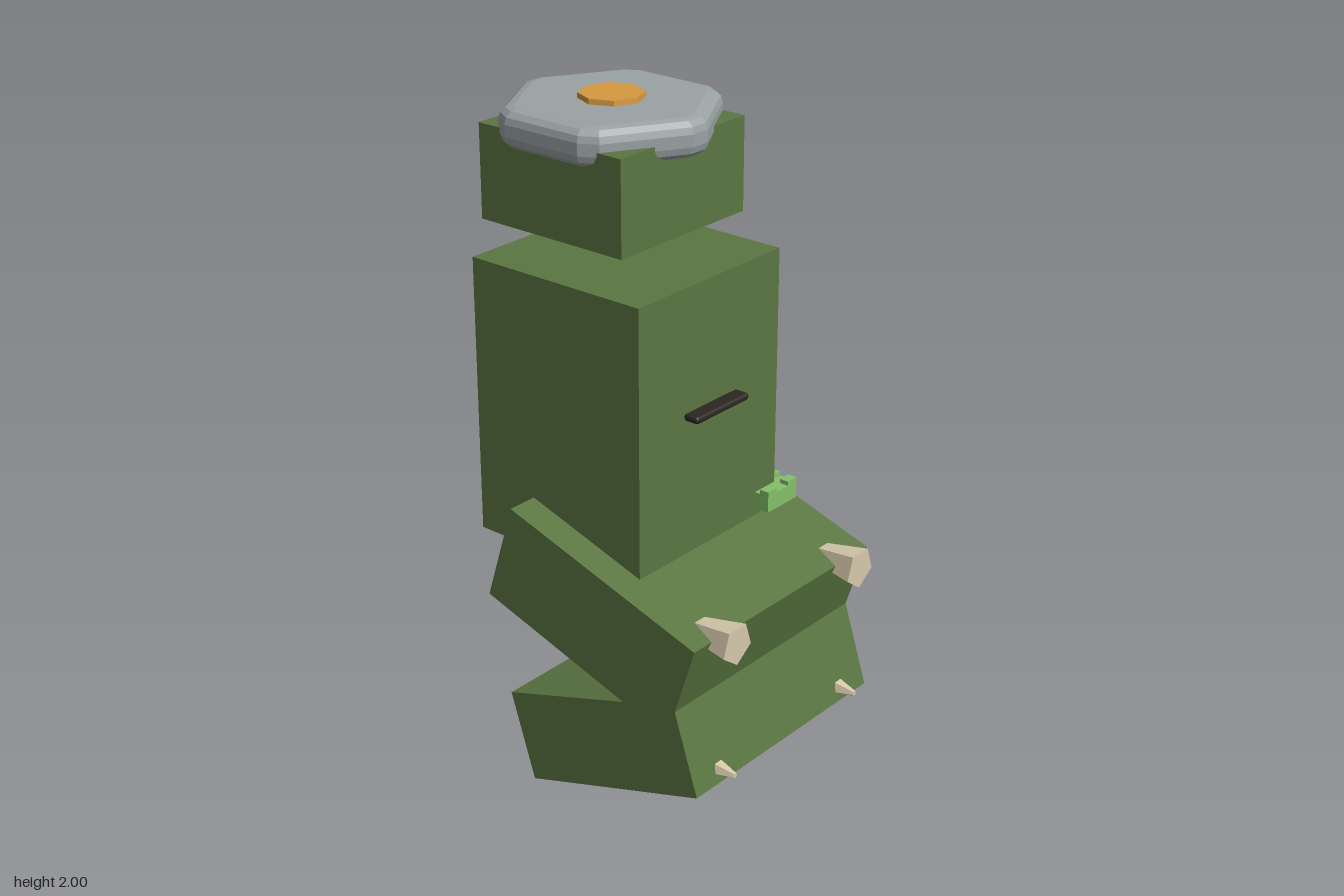
import * as THREE from 'three';
import { RoundedBoxGeometry } from 'three/addons/geometries/RoundedBoxGeometry.js';

const material = (name, color) => {
  const m = new THREE.MeshStandardMaterial({ color });
  m.name = name;
  return m;
};

export function createModel() {
  const model = new THREE.Group();
  model.name = 'figure';
  const green = material('olive green', 0x5b7642);
  const lightGreen = material('light green', 0x84c06a);
  const grey = material('grey', 0x9aa2a4);
  const orange = material('orange', 0xd6983f);
  const ivory = material('ivory', 0xd6c8ac);
  const dark = material('near black', 0x2b2622);

  const add = (name, geometry, mat, x = 0, y = 0, z = 0) => {
    const mesh = new THREE.Mesh(geometry, mat);
    mesh.name = name;
    mesh.position.set(x, y, z);
    model.add(mesh);
    return mesh;
  };
  const box = (name, mat, w, h, d, x, y, z) =>
    add(name, new THREE.BoxGeometry(w, h, d), mat, x, y, z);
  const faceted = (geometry) => {
    const g = geometry.toNonIndexed();
    g.computeVertexNormals();
    return g;
  };

  // Head and body blocks
  box('head', green, 0.515, 0.275, 0.51, -0.002, 1.7875, -0.185);
  box('body', green, 0.605, 0.84, 0.605, 0, 1.13, -0.1375);

  // Two tilted jaw slabs meeting at the front
  box('upperJaw', green, 0.795, 0.321, 0.703, 0, 0.614, 0.055).rotation.x = 0.307;
  box('lowerJaw', green, 0.795, 0.277, 0.65, 0, 0.2325, 0.099).rotation.x = -0.313;
  box('tongue', lightGreen, 0.58, 0.14, 0.25, 0, 0.405, 0.155);

  // Upper teeth flare forward, lower teeth taper forward
  for (const side of [-1, 1]) {
    const upper = new THREE.CylinderGeometry(0.062, 0.005, 0.3, 5);
    upper.rotateX(Math.PI / 2);
    add('upperTooth', faceted(upper), ivory, side * 0.283, 0.655, 0.345);
    const lower = new THREE.CylinderGeometry(0.008, 0.04, 0.12, 5);
    lower.rotateX(Math.PI / 2);
    add('lowerTooth', faceted(lower), ivory, side * 0.283, 0.236, 0.435);
  }

  // Small notched block beside the body
  box('sideBlock', lightGreen, 0.135, 0.052, 0.09, 0.28, 0.796, 0.168);
  for (const x of [0.233, 0.327])
    for (const z of [0.138, 0.198])
      box('sideBlockStud', lightGreen, 0.041, 0.02, 0.03, x, 0.825, z);

  // Slot bar on the chest
  add('chestBar', new RoundedBoxGeometry(0.23, 0.022, 0.05, 2, 0.009), dark, -0.002, 1.175, 0.19);

  // Hexagonal cap with clipped corners and a bevelled rim
  const corners = [];
  for (let i = 0; i < 6; i++) {
    const a = Math.PI / 6 + (i * Math.PI) / 3;
    for (const s of [-1, 1]) {
      const r = 0.312, t = s * 0.03;
      corners.push(new THREE.Vector2(
        Math.cos(a) * r - Math.sin(a) * t,
        Math.sin(a) * r + Math.cos(a) * t
      ));
    }
  }
  const cap = new THREE.ExtrudeGeometry(new THREE.Shape(corners), {
    depth: 0.035, bevelEnabled: true, bevelThickness: 0.0375, bevelSize: 0.04,
    bevelOffset: -0.04, bevelSegments: 3,
  });
  cap.rotateX(-Math.PI / 2);
  add('cap', cap, grey, 0, 1.9125, -0.188);
  add('capButton', faceted(new THREE.CylinderGeometry(0.093, 0.097, 0.04, 8)), orange, 0, 1.98, -0.188);

  return model;
}
